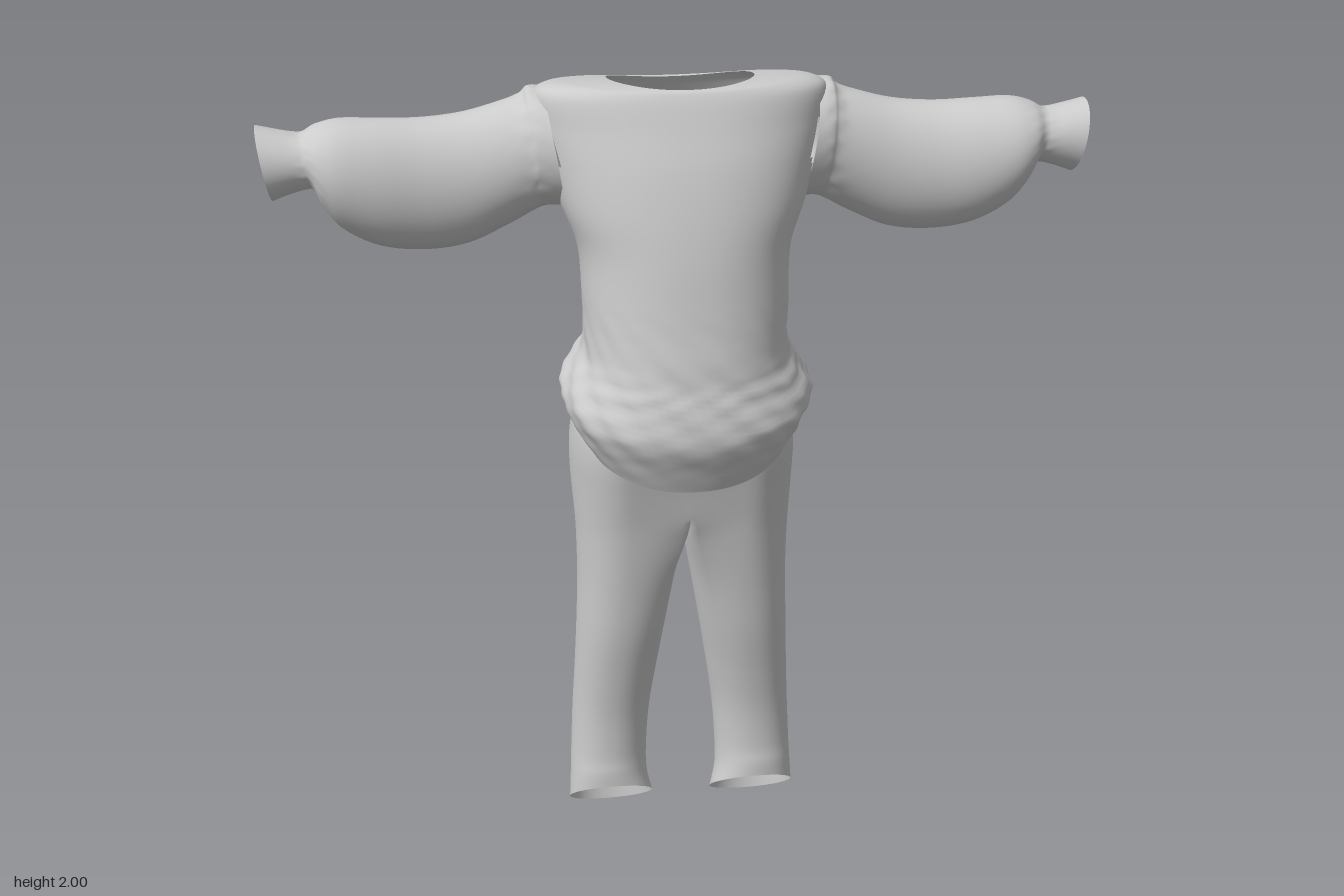
import * as THREE from 'three';

const cloth = new THREE.MeshStandardMaterial({ color: 0xcccccc, side: THREE.DoubleSide });

// Smoothly resample a short table of cross-section rows
function refine(rows, steps) {
  const out = [];
  for (let i = 0; i < rows.length - 1; i++) {
    const a = rows[Math.max(i - 1, 0)], b = rows[i], c = rows[i + 1], d = rows[Math.min(i + 2, rows.length - 1)];
    for (let k = 0; k < steps; k++) {
      const t = k / steps;
      out.push(b.map((v, n) => v + 0.5 * t * (c[n] - a[n] + t * (2 * a[n] - 5 * v + 4 * c[n] - d[n]
        + t * (3 * (v - c[n]) + d[n] - a[n])))));
    }
  }
  out.push(rows[rows.length - 1]);
  return out;
}

// Open tube of closed cross-sections; skip(corners) leaves a gap in the cloth
function loft(name, rows, segs, point, flip = false, skip = () => false) {
  const pts = [], index = [];
  rows.forEach(r => {
    for (let j = 0; j < segs; j++) pts.push(point(r, j / segs * Math.PI * 2));
  });
  for (let i = 0; i < rows.length - 1; i++) {
    for (let j = 0; j < segs; j++) {
      const a = i * segs + j, b = i * segs + (j + 1) % segs, c = b + segs, d = a + segs;
      if (skip([pts[a], pts[b], pts[c], pts[d]])) continue;
      if (flip) index.push(a, b, c, a, c, d);
      else index.push(a, c, b, a, d, c);
    }
  }
  const g = new THREE.BufferGeometry();
  g.setAttribute('position', new THREE.Float32BufferAttribute(pts.flat(), 3));
  g.setIndex(index);
  g.computeVertexNormals();
  const mesh = new THREE.Mesh(g, cloth);
  mesh.name = name;
  return mesh;
}

const power = (v, e) => Math.sign(v) * Math.pow(Math.abs(v), e);

// Small irregular creases
const crease = (a, y) => Math.sin(a * 9 + y * 40) * Math.sin(y * 95 + 2.5 * Math.sin(a * 4))
  + 0.6 * Math.sin(a * 17 - y * 70);

function makeTorso() {
  // y at front, y at back, half width, front z, back z
  const rows = refine([
    [1.07, 1.325, 0.255, 0.215, -0.215],
    [1.13, 1.335, 0.28, 0.24, -0.215],
    [1.21, 1.35, 0.298, 0.268, -0.212],
    [1.29, 1.38, 0.27, 0.255, -0.208],
    [1.36, 1.42, 0.243, 0.243, -0.203],
    [1.50, 1.51, 0.243, 0.222, -0.2],
    [1.62, 1.62, 0.25, 0.205, -0.217],
    [1.72, 1.72, 0.287, 0.185, -0.245],
    [1.82, 1.81, 0.315, 0.158, -0.268],
    [1.90, 1.88, 0.335, 0.128, -0.262],
    [1.96, 1.93, 0.34, 0.105, -0.24],
    [1.985, 1.952, 0.305, 0.092, -0.226],
    [1.99, 1.958, 0.24, 0.085, -0.222],
    [1.992, 1.955, 0.17, 0.08, -0.218],
  ], 6);
  const point = ([yf, yb, w, zf, zb], a) => {
    const c = power(Math.cos(a), 0.9), s = power(Math.sin(a), 0.9);
    const ym = (yf + yb) / 2;
    // shoulder line stays level while the back of the collar drops
    const lift = ym > 1.9 ? 0.018 * c * c * Math.min(1, (ym - 1.9) / 0.05) : 0;
    const y = ym + (yf - yb) / 2 * s + lift;
    const k = 1 + 0.017 * crease(a, y) * Math.max(0, 1 - Math.abs(y - 1.3) / 0.22);
    return [w * c * k, y, ((zf + zb) / 2 + (zf - zb) / 2 * s * k)];
  };
  // arm openings
  const armhole = q => {
    const [x, y, z] = [0, 1, 2].map(n => q.reduce((t, p) => t + p[n], 0) / 4);
    return Math.abs(x) > 0.2 && ((y - 1.835) / 0.125) ** 2 + ((z + 0.075) / 0.115) ** 2 < 1;
  };
  return loft('shirtBody', rows, 96, point, false, armhole);
}

function makeSleeve(side, name) {
  // x, top y, bottom y, centre z, half depth, slant in x
  const rows = refine([
    [0.295, 1.975, 1.70, -0.075, 0.135, 0.022],
    [0.335, 1.975, 1.70, -0.075, 0.124, 0.015],
    [0.355, 1.96, 1.69, -0.075, 0.115, 0.012],
    [0.41, 1.945, 1.655, -0.074, 0.108, 0],
    [0.50, 1.922, 1.616, -0.073, 0.104, 0],
    [0.60, 1.913, 1.606, -0.07, 0.106, 0],
    [0.70, 1.917, 1.622, -0.063, 0.111, 0],
    [0.78, 1.919, 1.665, -0.061, 0.112, 0],
    [0.825, 1.908, 1.715, -0.06, 0.098, 0.005],
    [0.85, 1.893, 1.76, -0.06, 0.077, 0.01],
    [0.87, 1.892, 1.762, -0.06, 0.073, 0.01],
    [0.91, 1.9, 1.752, -0.06, 0.077, 0.012],
    [0.95, 1.91, 1.738, -0.06, 0.082, 0.014],
  ], 5);
  return loft(name, rows, 48, ([x, top, bot, z, d, slant], a) => {
    const gather = Math.exp(-(((x - 0.345) / 0.025) ** 2)) + Math.exp(-(((x - 0.85) / 0.03) ** 2));
    const k = 1 + 0.018 * gather * crease(a, x);
    const c = Math.cos(a);
    return [side * (x + slant * c), (top + bot) / 2 + (top - bot) / 2 * c * k, z - d * Math.sin(a) * k];
  }, side < 0);
}

function makeTrouserHalf(side, name) {
  // y, front-to-back tilt, inner x, outer x, front z, back z, squareness of inner side
  const rows = refine([
    [0.072, 0.07, 0.078, 0.298, 0.018, -0.143, 0],
    [0.14, 0.04, 0.092, 0.294, 0.017, -0.154, 0],
    [0.22, 0.01, 0.092, 0.29, 0.012, -0.163, 0],
    [0.34, 0, 0.083, 0.284, 0.016, -0.17, 0],
    [0.46, 0, 0.066, 0.277, 0.034, -0.165, 0],
    [0.60, 0, 0.044, 0.27, 0.06, -0.166, 0.1],
    [0.74, 0, 0.021, 0.265, 0.08, -0.177, 0.3],
    [0.87, 0, 0, 0.266, 0.1, -0.195, 0.7],
    [0.94, 0, 0, 0.27, 0.112, -0.218, 1],
    [1.02, 0, 0, 0.275, 0.13, -0.254, 1],
    [1.10, -0.005, 0, 0.276, 0.148, -0.262, 1],
    [1.17, -0.02, 0, 0.268, 0.158, -0.242, 1],
    [1.235, -0.045, 0, 0.255, 0.15, -0.225, 1],
  ], 5);
  const point = ([y, tilt, xi, xo, zf, zb, sq], a) => {
    let c = Math.cos(a), s = Math.sin(a);
    if (c < -1e-6) {
      // inner half blends from round leg to a square edge on the centre line
      const k = (a - Math.PI / 2) / Math.PI;
      const boxX = -Math.min(1, 4 * Math.min(k, 1 - k));
      const boxZ = k < 0.25 ? 1 : k > 0.75 ? -1 : 2 - 4 * k;
      c += (boxX - c) * sq;
      s += (boxZ - s) * sq;
    } else {
      c = power(c, 0.9);
    }
    const x = Math.max(0, (xi + xo) / 2 + (xo - xi) / 2 * c);
    // shallow centre seam at the seat
    const seam = s < 0 && y > 0.87 && y < 1.12 ? 0.02 * Math.exp(-((x / 0.04) ** 2)) * Math.sin((y - 0.87) / 0.25 * Math.PI) : 0;
    return [side * x, y + tilt * s, (zf + zb) / 2 + (zf - zb) / 2 * s + seam];
  };
  // no cloth on the centre plane between the hips
  return loft(name, rows, 64, point, side < 0, q => q.every(p => Math.abs(p[0]) < 1e-3));
}

export function createModel() {
  const model = new THREE.Group();
  model.name = 'outfit';
  const shirt = new THREE.Group();
  shirt.name = 'shirt';
  shirt.add(makeTorso(), makeSleeve(1, 'leftSleeve'), makeSleeve(-1, 'rightSleeve'));
  const trousers = new THREE.Group();
  trousers.name = 'trousers';
  trousers.add(makeTrouserHalf(1, 'leftTrouserLeg'), makeTrouserHalf(-1, 'rightTrouserLeg'));
  model.add(shirt, trousers);
  return model;
}
